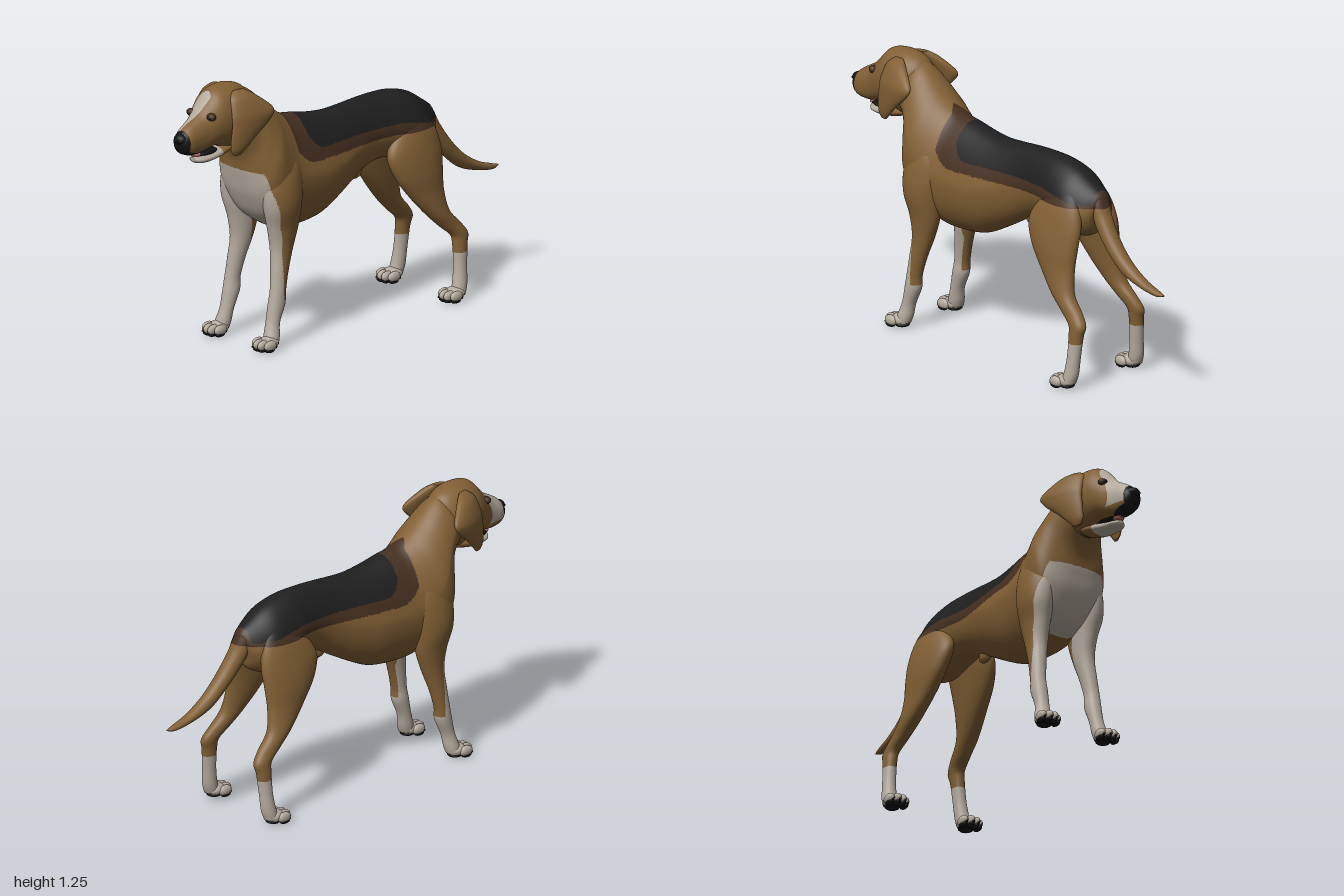
import * as THREE from 'three';

const mat = (name, color) => {
  const m = new THREE.MeshStandardMaterial({ color });
  m.name = name;
  return m;
};
const tan = mat('tan', 0x826035), white = mat('white', 0xb4aa9d), brown = mat('darkBrown', 0x452f20),
  black = mat('saddleBlack', 0x1f1f1f), dark = mat('noseBlack', 0x141212), pink = mat('tonguePink', 0xb56c6a);

// Ring helpers: both give [x, y, z, halfWidth, upY, upZ, squareness of the lower half]
const pair = ([zt, yt, zb, yb, w, x = 0, sq = 2]) =>
  [x, (yt + yb) / 2, (zt + zb) / 2, w, (yt - yb) / 2, (zt - zb) / 2, sq];
const flat = s => ([y, x, z, rx, rz]) => [s * x, y, z, rx, 0, rz, 2];

// Smooth skin through rings; faces are coloured by paint(x, y, z) and split finely at colour borders
function loft(name, rings, { seg = 44, sub = 8, taper = 0, paint = () => tan, warp } = {}) {
  const pos = [], rows = [], index = [], n = rings.length;
  const at = i => rings[Math.max(0, Math.min(n - 1, i))];
  for (let i = 0; i < n - 1; i++) {
    for (let k = 0; k < sub + (i === n - 2 ? 1 : 0); k++) {
      const t = k / sub, [a, b, c, d] = [at(i - 1), at(i), at(i + 1), at(i + 2)];
      rows.push(b.map((v, j) => v + 0.5 * t * (c[j] - a[j] + t * (2 * a[j] - 5 * v + 4 * c[j] - d[j]
        + t * (3 * (v - c[j]) + d[j] - a[j])))));
    }
  }
  const bend = (v, p) => Math.sign(v) * Math.abs(v) ** (2 / p);
  const put = (x, y, z) => pos.push(...(warp ? warp(x, y, z) : [x, y, z]));
  for (const [x, y, z, w, uy, uz, sq] of rows) {
    for (let j = 0; j < seg; j++) {
      const a = j / seg * Math.PI * 2, p = Math.sin(a) < 0 ? sq : 2;
      const s = bend(Math.sin(a), p), c = bend(Math.cos(a), p) * (1 - taper * Math.max(0, s));
      put(x + w * c, y + uy * s, z + uz * s);
    }
  }
  const first = pos.length / 3, end = rows.length - 1;
  put(...rows[0].slice(0, 3));
  put(...rows[end].slice(0, 3));
  for (let j = 0; j < seg; j++) {
    const q = (j + 1) % seg;
    index.push(first, q, j, first + 1, end * seg + j, end * seg + q);
    for (let i = 0; i < end; i++) {
      const a = i * seg + j, b = i * seg + q;
      index.push(a, b, b + seg, a, b + seg, a + seg);
    }
  }
  const g = new THREE.BufferGeometry();
  g.setAttribute('position', new THREE.Float32BufferAttribute(pos, 3));
  g.setIndex(index);
  g.computeVertexNormals();

  const nor = [...g.attributes.normal.array], faces = new Map();
  const middle = (a, b) => {
    for (const list of [pos, nor]) for (let k = 0; k < 3; k++) list.push((list[a * 3 + k] + list[b * 3 + k]) / 2);
    return pos.length / 3 - 1;
  };
  const colour = v => paint(pos[v * 3], pos[v * 3 + 1], pos[v * 3 + 2]);
  const tri = (a, b, c, depth) => {
    const m = colour(a);
    if (depth && (colour(b) !== m || colour(c) !== m)) {
      const ab = middle(a, b), bc = middle(b, c), ca = middle(c, a);
      for (const t of [[a, ab, ca], [ab, b, bc], [ca, bc, c], [ab, bc, ca]]) tri(...t, depth - 1);
      return;
    }
    if (!faces.has(m)) faces.set(m, []);
    faces.get(m).push(a, b, c);
  };
  for (let i = 0; i < index.length; i += 3) tri(index[i], index[i + 1], index[i + 2], 2);
  const mats = [...faces.keys()], sorted = [];
  mats.forEach((m, i) => {
    g.addGroup(sorted.length, faces.get(m).length, i);
    for (const v of faces.get(m)) sorted.push(v);
  });
  g.setAttribute('position', new THREE.Float32BufferAttribute(pos, 3));
  g.setAttribute('normal', new THREE.Float32BufferAttribute(nor, 3));
  g.setIndex(sorted);
  const mesh = new THREE.Mesh(g, mats);
  mesh.name = name;
  return mesh;
}

function ball(name, material, x, y, z, rx, ry, rz) {
  const m = new THREE.Mesh(new THREE.SphereGeometry(1, 14, 9), material);
  m.name = name;
  m.position.set(x, y, z);
  m.scale.set(rx, ry, rz);
  return m;
}

// Coat pattern: white socks and bib, dark saddle, tan elsewhere
function coat(x, y, z) {
  if (y < 0.22) return white;
  const ax = Math.abs(x);
  let bib = y > 0.65 ? 0.51 + (y - 0.65) * 0.3 : y > 0.5 ? 0.475 + (y - 0.5) * 0.23 : 0.475;
  if (y < 0.6) bib += Math.max(-0.05, Math.min(0, (ax - 0.13) * 2));
  if (y < 0.82 && z > bib && ax < 0.192 - Math.max(0, y - 0.76) * 0.6) return white;
  const corner = (edge, size) => Math.max(0, (z - edge + size) / size) ** 3 * 0.07;
  const rear = 0.035 * THREE.MathUtils.smoothstep(-z, 0.3, 0.55);
  if (z > -0.57 && z < 0.255 && y > 0.865 - rear + corner(0.255, 0.1)) return black;
  const tip = 0.35 + 0.035 * Math.max(0, 1 - ax / 0.045);
  if (z > -0.615 && z < tip && y > 0.815 + corner(0.35, 0.14)) return brown;
  return tan;
}

// Face pattern: blaze slanting down to one side, dark lips at the tip
function face(x, y, z) {
  if (z > 0.957 || y < 0.978 + (z - 0.9) * 0.25 && z > 0.8) return dark;
  const shift = (z - 0.78) * 0.22;
  if (z > 0.775 + (z < 0.82 ? 14 * (x + 0.012) ** 2 : 0) && y > 1.005
    && x < 0.027 - shift && x > -0.047 - shift) return white;
  return tan;
}

function paw(s, x, z) {
  const g = new THREE.Group();
  g.name = 'paw';
  g.add(ball('pawBase', white, s * x, 0.035, z, 0.045, 0.03, 0.048));
  g.add(ball('heelPad', dark, s * x, 0.014, z - 0.005, 0.036, 0.014, 0.035));
  [-0.04, -0.014, 0.014, 0.04].forEach((dx, i) => {
    const reach = i === 1 || i === 2 ? 0.045 : 0.028;
    g.add(ball('toe', white, s * x + dx, 0.031, z + reach, 0.0175, 0.025, 0.036));
    g.add(ball('toePad', dark, s * x + dx, 0.012, z + reach + 0.003, 0.014, 0.012, 0.028));
    g.add(ball('claw', dark, s * x + dx, 0.018, z + reach + 0.03, 0.005, 0.006, 0.01));
  });
  return g;
}

export function createModel() {
  const dog = new THREE.Group();
  dog.name = 'hound';

  // Rump, belly, chest and neck: top z, top y, bottom z, bottom y, half width, x, squareness
  dog.add(loft('torso', [
    [-.6, .84, -.57, .78, .02], [-.585, .875, -.555, .7, .07], [-.53, .915, -.5, .66, .11],
    [-.45, .965, -.42, .66, .135], [-.35, .993, -.33, .68, .13], [-.25, 1, -.25, .69, .115],
    [-.15, .998, -.15, .665, .108], [-.05, .99, -.05, .61, .122], [.05, .985, .05, .555, .145],
    [.15, .995, .15, .51, .162], [.25, 1.015, .27, .495, .17], [.33, 1.03, .38, .505, .177, 0, 2.1],
    [.38, 1.06, .5, .58, .19, 0, 2.6], [.42, 1.09, .56, .69, .19, 0, 2.9], [.46, 1.125, .585, .79, .168, 0, 2.5],
    [.51, 1.17, .6, .87, .143], [.56, 1.205, .63, .93, .122], [.62, 1.22, .68, .97, .095],
  ].map(pair), { seg: 80, taper: .2, paint: coat }));
  dog.add(ball('sheath', tan, 0, .65, -.13, .02, .032, .045));

  // Tail, from tip to root
  dog.add(loft('tail', [
    [-1, .503, -1, .497, .004, .02], [-.96, .515, -.955, .488, .018, .02], [-.875, .545, -.86, .505, .027, .02],
    [-.78, .605, -.75, .545, .035, .02], [-.7, .685, -.65, .63, .04, .018], [-.63, .785, -.575, .72, .045, .01],
    [-.585, .87, -.53, .8, .05], [-.52, .91, -.45, .85, .04],
  ].map(pair), { seg: 32, paint: coat }));

  // Legs with shoulder and thigh: y, x, z, half width, half depth
  for (const s of [1, -1]) {
    dog.add(loft('frontLeg', [
      [.93, .09, .42, .03, .04], [.85, .117, .43, .06, .09], [.75, .132, .44, .072, .108],
      [.65, .137, .443, .072, .1], [.55, .13, .435, .058, .082], [.45, .13, .443, .047, .058],
      [.35, .14, .465, .039, .044], [.26, .148, .482, .035, .038], [.2, .148, .49, .037, .042],
      [.12, .15, .515, .033, .033], [.06, .158, .53, .037, .037], [.025, .163, .54, .036, .036],
    ].map(flat(s)), { paint: coat }), paw(s, .163, .552));
    dog.add(loft('hindLeg', [
      [.91, .06, -.42, .03, .05], [.82, .09, -.41, .052, .115], [.72, .112, -.393, .06, .157],
      [.62, .13, -.405, .058, .14], [.52, .143, -.438, .05, .101], [.42, .16, -.492, .042, .066],
      [.35, .17, -.56, .035, .06], [.3, .18, -.606, .032, .048], [.25, .187, -.606, .03, .038],
      [.15, .195, -.6, .03, .033], [.07, .202, -.59, .033, .036], [.025, .206, -.575, .033, .036],
    ].map(flat(s)), { paint: coat }), paw(s, .203, -.56));
  }

  // Head, turned slightly to its left
  const head = new THREE.Group(), pivot = new THREE.Group();
  head.name = 'head';
  head.position.set(-.007, 0, .58);
  head.rotation.y = .09;
  pivot.position.z = -.58;
  head.add(pivot);
  dog.add(head);
  pivot.add(loft('skullAndMuzzle', [
    [.54, 1.15, .57, 1.03, .03], [.575, 1.215, .61, .955, .09], [.64, 1.245, .66, .945, .113],
    [.71, 1.25, .71, .957, .11], [.77, 1.235, .76, .975, .1, 0, 2.3], [.82, 1.185, .8, .98, .086, 0, 2.4],
    [.86, 1.147, .85, .97, .069, 0, 2.5], [.9, 1.123, .89, .964, .06, 0, 2.6], [.94, 1.1, .935, .968, .054, 0, 2.6],
    [.97, 1.075, .965, .98, .044, 0, 2.4], [.985, 1.06, .98, 1, .028], [.99, 1.045, .985, 1.02, .008],
  ].map(pair), { seg: 72, paint: face }));
  pivot.add(loft('lowerJaw', [
    [.66, .98, .66, .94, .05], [.74, .97, .74, .918, .056], [.82, .952, .82, .91, .047],
    [.865, .947, .87, .915, .036], [.89, .944, .89, .928, .012],
  ].map(pair), { seg: 32, sub: 6, paint: (x, y, z) => z > .74 ? white : tan }));
  pivot.add(ball('mouthLining', dark, 0, .958, .81, .047, .014, .075));
  pivot.add(ball('tongue', pink, 0, .957, .848, .03, .012, .052));
  pivot.add(ball('nose', dark, 0, 1.05, .967, .035, .025, .032));
  for (const s of [1, -1]) {
    pivot.add(ball('eyelid', brown, s * .06, 1.133, .831, .024, .018, .02));
    pivot.add(ball('eye', dark, s * .061, 1.133, .84, .014, .011, .015));
    pivot.add(ball('nostril', black, s * .016, 1.048, .99, .009, .007, .007));
    pivot.add(loft('ear', [
      [1.225, .078, .665, .015, .03], [1.195, .1, .66, .03, .068], [1.13, .129, .635, .03, .108],
      [1.08, .137, .65, .026, .098], [1.02, .137, .688, .021, .066], [.97, .134, .713, .016, .04],
      [.94, .131, .72, .007, .018],
    ].map(flat(s)), { seg: 36, warp: (x, y, z) => [x + s * (.66 - z) * .24, y, z] }));
  }
  return dog;
}
